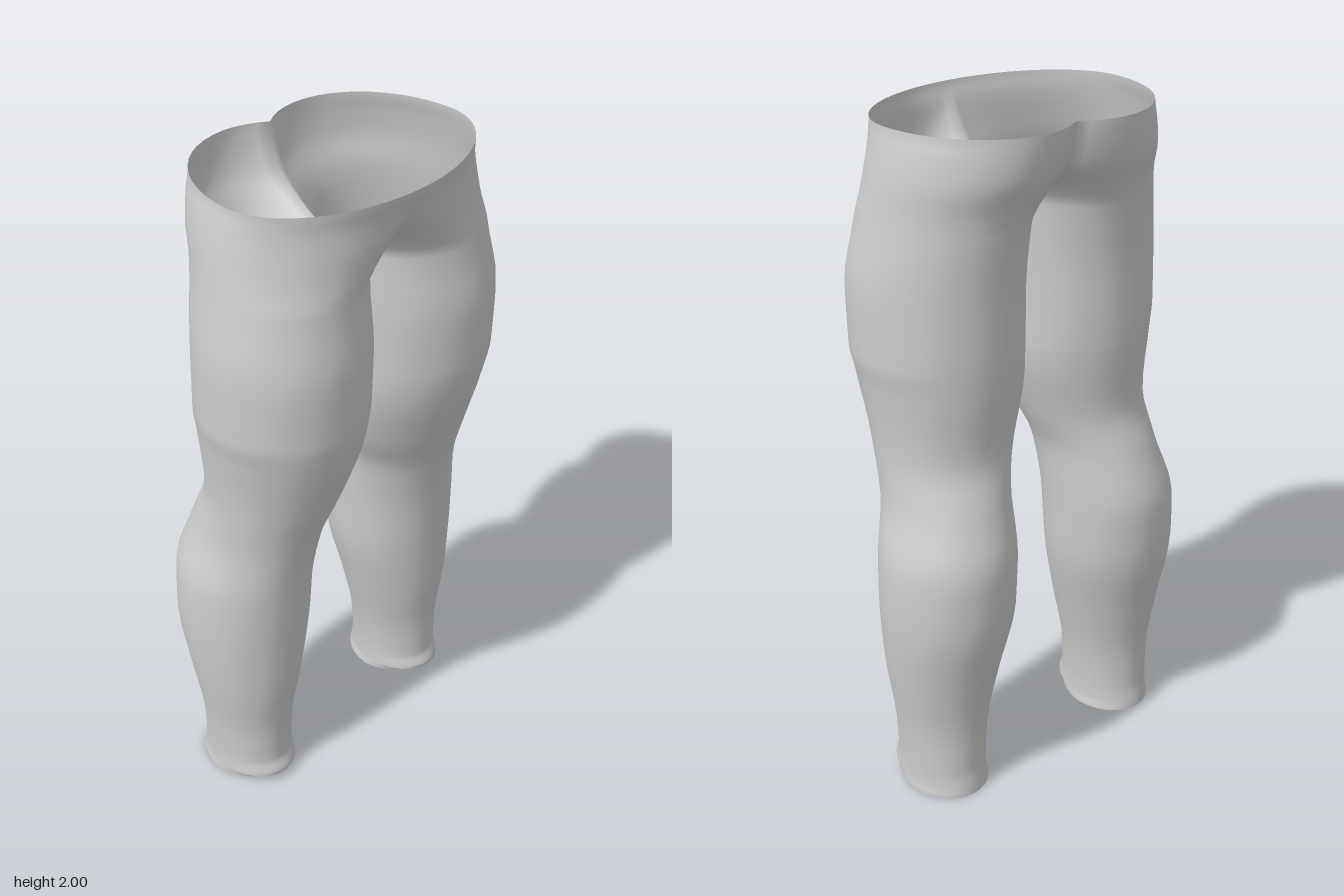
import * as THREE from 'three';
import { mergeVertices } from 'three/addons/utils/BufferGeometryUtils.js';

// Cross-sections of the left leg and hip:
// height, outer x, inner x, front z, back z, x of front bulge, x of back bulge.
// A negative inner x means the section is cut open at the middle plane.
const SECTIONS = [
  [0, 0.46, 0.205, 0.085, -0.22, 0.335, 0.335],
  [0.03, 0.457, 0.209, 0.108, -0.217, 0.335, 0.335],
  [0.08, 0.455, 0.21, 0.09, -0.21, 0.335, 0.335],
  [0.2, 0.46, 0.2, 0.09, -0.21, 0.335, 0.33],
  [0.4, 0.488, 0.16, 0.112, -0.238, 0.325, 0.32],
  [0.62, 0.506, 0.118, 0.125, -0.281, 0.31, 0.31],
  [0.78, 0.498, 0.113, 0.135, -0.285, 0.3, 0.3],
  [0.95, 0.455, 0.103, 0.163, -0.238, 0.28, 0.28],
  [1.1, 0.445, 0.05, 0.21, -0.19, 0.26, 0.25],
  [1.3, 0.465, 0.003, 0.268, -0.205, 0.25, 0.24],
  [1.38, 0.478, 0.002, 0.28, -0.208, 0.25, 0.235],
  [1.55, 0.476, 0.002, 0.283, -0.21, 0.25, 0.225],
  [1.74, 0.447, 0.002, 0.255, -0.228, 0.23, 0.2],
  [1.8, 0.437, -0.03, 0.253, -0.243, 0.18, 0.18],
  [1.88, 0.424, -0.1, 0.262, -0.275, 0.1, 0.16],
  [1.95, 0.41, -0.12, 0.275, -0.287, 0.03, 0.14],
  [2, 0.4, -0.125, 0.29, -0.29, 0, 0.13],
];
const HALF = 16; // segments along the front or back of one section
const STEPS = 4; // rows between two sections

// Slope at a section, zero at turning points so the outline never overshoots
function slope(i, c) {
  if (i === 0 || i === SECTIONS.length - 1) return 0;
  const [p, q, r] = [SECTIONS[i - 1], SECTIONS[i], SECTIONS[i + 1]];
  const a = (q[c] - p[c]) / (q[0] - p[0]);
  const b = (r[c] - q[c]) / (r[0] - q[0]);
  return a * b <= 0 ? 0 : (2 * a * b) / (a + b);
}

// Smooth blend between section i and the next
function blend(i, t) {
  const p = SECTIONS[i], q = SECTIONS[i + 1], h = q[0] - p[0];
  return p.map((v, c) => {
    if (c === 0) return v + h * t;
    const t2 = t * t, t3 = t2 * t;
    return v * (2 * t3 - 3 * t2 + 1) + q[c] * (3 * t2 - 2 * t3)
      + h * (slope(i, c) * (t3 - 2 * t2 + t) + slope(i + 1, c) * (t3 - t2));
  });
}

// One row of points, from the inner front round the outside to the inner back
function sectionPoints([y, outer, inner, front, back, cxFront, cxBack]) {
  const cz = (front + back) / 2 + 0.03 * THREE.MathUtils.smoothstep(y, 1.2, 2);
  const points = [];
  for (let j = -HALF; j <= HALF; j++) {
    const isFront = j < 0;
    const cx = isFront ? cxFront : cxBack;
    const end = inner < 0 ? Math.acos(-cx / (cx - inner)) : Math.PI;
    const angle = (Math.abs(j) / HALF) * end;
    const c = Math.cos(angle);
    const x = cx + c * (c > 0 ? outer - cx : cx - inner);
    const z = cz + Math.sin(angle) * ((isFront ? front : back) - cz);
    // The front of the ankle hem is raised a little
    const lift = isFront && y < 0.03 ? 0.02 * Math.sin(angle) : 0;
    points.push([Math.max(0, x), y + lift, z]);
  }
  return points;
}

function leggingsGeometry() {
  const rows = [];
  for (let i = 0; i < SECTIONS.length - 1; i++) {
    for (let s = 0; s < STEPS; s++) rows.push(sectionPoints(blend(i, s / STEPS)));
  }
  rows.push(sectionPoints(SECTIONS[SECTIONS.length - 1]));

  const positions = [], index = [];
  const width = 2 * HALF + 1;
  for (const side of [1, -1]) {
    const base = positions.length / 3;
    for (const row of rows) for (const [x, y, z] of row) positions.push(side * x, y, z);
    for (let i = 0; i < rows.length - 1; i++) {
      for (let j = 0; j < width - 1; j++) {
        const a = base + i * width + j, b = a + 1, c = b + width, d = a + width;
        if (side > 0) index.push(a, b, c, a, c, d);
        else index.push(a, c, b, a, d, c);
      }
    }
  }
  let geometry = new THREE.BufferGeometry();
  geometry.setAttribute('position', new THREE.Float32BufferAttribute(positions, 3));
  geometry.setIndex(index);
  // Weld the leg seams and the middle seam, then smooth
  geometry = mergeVertices(geometry, 1e-4);
  geometry.computeVertexNormals();
  return geometry;
}

export function createModel() {
  const cloth = new THREE.MeshStandardMaterial({ color: 0xcccccc, side: THREE.DoubleSide });
  cloth.name = 'light grey cloth';

  // Open shell: two legs joined at the hips
  const leggings = new THREE.Mesh(leggingsGeometry(), cloth);
  leggings.name = 'leggings';

  const group = new THREE.Group();
  group.name = 'trousers';
  group.add(leggings);
  return group;
}
